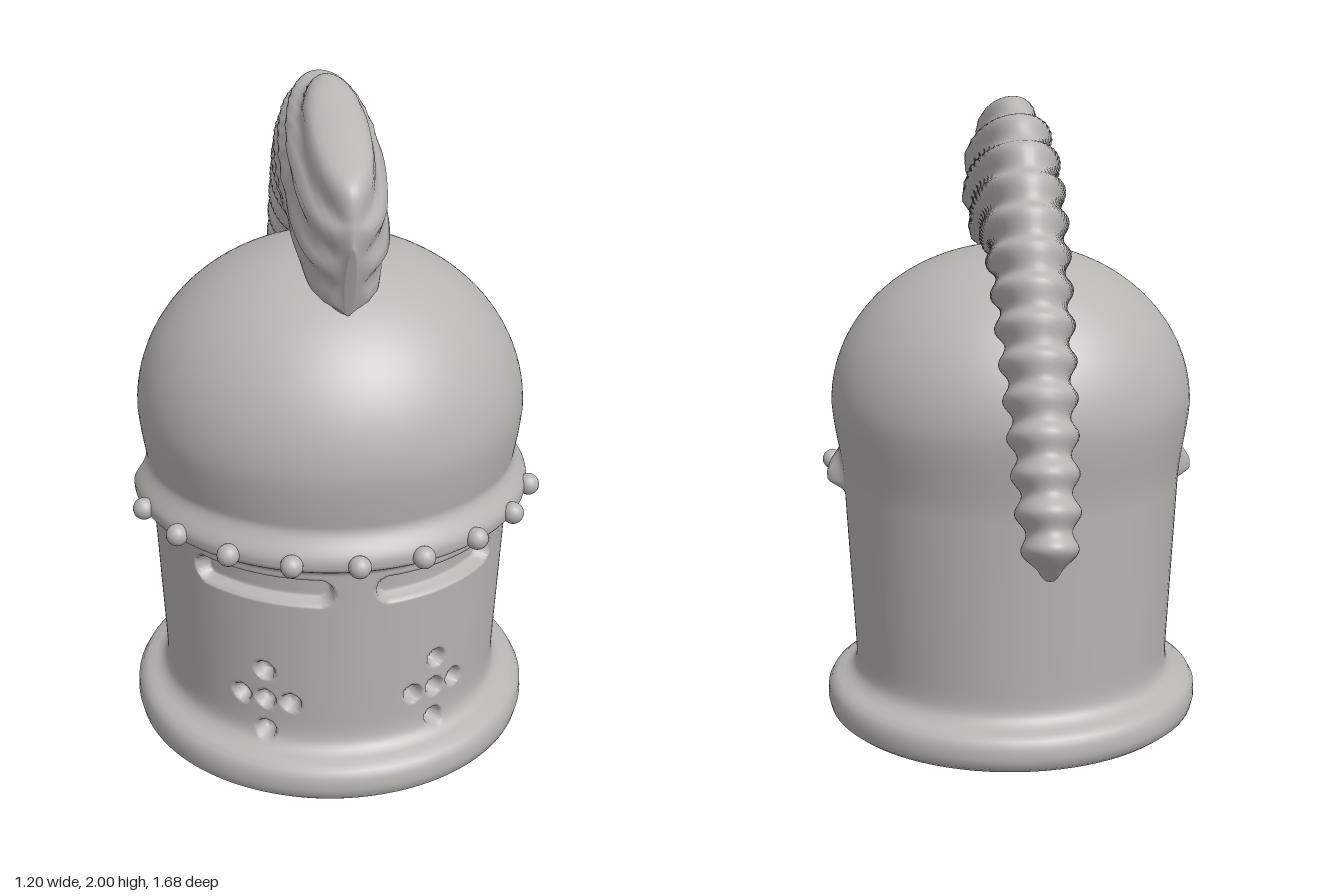
import * as THREE from 'three';
import { mergeVertices } from 'three/addons/utils/BufferGeometryUtils.js';

const AXIS_Z = 0.215; // helmet axis
const step = THREE.MathUtils.smoothstep;

// Plain wall radius at height y: slight flare plus a fillet into the rim
const wallRadius = (y) =>
  0.502 + 0.05 * (y - 0.2) + 0.02 * step(y, 0.8, 1.05) + 0.045 * Math.exp(-(y - 0.15) / 0.02);

// Breathing holes, as arc length and height on one half of the face
const HOLES = [[0, 0], [0.078, 0], [-0.078, 0], [0, 0.1], [0, -0.105]].map(([s, y]) => [0.262 + s, 0.308 + y]);

// Radial offset of the wall: raised brow band, sunken eye slits and holes
function relief(phi, y) {
  const a = Math.abs(phi), s = a * 0.515;
  const band = 0.052 * step(y, 0.755, 0.8) * (1 - step(y, 0.815, 0.91)) * (1 - step(a, 1.55, 1.63));
  const ds = Math.max(0.1 - s, 0, s - 0.445);
  let d = Math.hypot(ds, y - 0.692) - 0.039;
  for (const [hs, hy] of HOLES) d = Math.min(d, Math.hypot(s - hs, y - hy) - 0.027);
  return band - 0.04 * (1 - step(d, -0.009, 0.005));
}

// Helmet: lathe with columns packed towards the face, then embossed
function helmetGeometry() {
  const pts = [[0, 0], [0.36, 0], [0.44, 0.012], [0.54, 0.024], [0.572, 0.03], [0.592, 0.046], [0.599, 0.075],
    [0.597, 0.11], [0.585, 0.132], [0.567, 0.144]];
  for (let i = 0; i <= 116; i++) {
    const y = 0.15 + 0.8 * i / 116;
    pts.push([wallRadius(y), y]);
  }
  for (const y of [0.98, 1.015]) pts.push([wallRadius(y), y]);
  for (let i = 0; i <= 28; i++) {
    const a = Math.PI / 2 * i / 28;
    pts.push([0.565 * Math.cos(a), 1.05 + 0.49 * Math.sin(a)]);
  }
  const cols = 270, rows = pts.length;
  const geo = new THREE.LatheGeometry(pts.map(([r, y]) => new THREE.Vector2(Math.max(r, 0), y)), cols);
  const pos = geo.attributes.position;
  for (let i = 0; i <= cols; i++) {
    const u = 2 * i / cols - 1, a = Math.abs(u);
    const phi = Math.sign(u) * (a < 0.86 ? a / 0.86 * 1.72 : 1.72 + (a - 0.86) / 0.14 * (Math.PI - 1.72));
    for (let j = 0; j < rows; j++) {
      const [r0, y] = pts[j];
      const r = r0 + (y > 0.149 && y < 0.96 ? relief(phi, y) : 0);
      pos.setXYZ(i * rows + j, r * Math.sin(phi), y, r * Math.cos(phi));
    }
  }
  geo.deleteAttribute('uv');
  geo.deleteAttribute('normal');
  const merged = mergeVertices(geo, 1e-5);
  merged.computeVertexNormals();
  return merged;
}

// Plume: loft between a lower and an upper edge, with slanted parallel ridges
function plumeGeometry() {
  // lower z, lower y, upper z, upper y, half width
  const sections = [
    [0.56, 1.45, 0.648, 1.67, 0.015], [0.55, 1.44, 0.635, 1.79, 0.06], [0.5, 1.43, 0.55, 1.87, 0.103],
    [0.4, 1.45, 0.4, 1.94, 0.125], [0.25, 1.48, 0.2, 1.985, 0.13], [0.1, 1.48, 0, 1.965, 0.126],
    [-0.08, 1.46, -0.2, 1.865, 0.117], [-0.23, 1.35, -0.39, 1.67, 0.107], [-0.38, 1.2, -0.56, 1.42, 0.098],
    [-0.52, 1.0, -0.72, 1.13, 0.085], [-0.615, 0.86, -0.815, 0.95, 0.076], [-0.66, 0.79, -0.825, 0.85, 0.055],
    [-0.71, 0.77, -0.755, 0.775, 0.015]];
  const curve = (f) => new THREE.CatmullRomCurve3(sections.map(f), false, 'catmullrom', 0.5);
  const low = curve((s) => new THREE.Vector3(0, s[1], s[0]));
  const high = curve((s) => new THREE.Vector3(s[4], s[3], s[2]));
  const rings = 290, sides = 48, verts = [], index = [];
  for (let i = 0; i <= rings; i++) {
    const t = i / rings, b = low.getPoint(t), h = high.getPoint(t), w = h.x;
    h.x = 0;
    const mid = b.clone().add(h).multiplyScalar(0.5);
    const half = h.sub(b).multiplyScalar(0.5), dir = half.clone().normalize();
    const amp = 0.012 * step(t, 0, 0.1) * (1 - step(t, 0.93, 1));
    for (let j = 0; j < sides; j++) {
      const a = j / sides * Math.PI * 2, c = Math.cos(a), s = Math.sin(a);
      const p = mid.clone().addScaledVector(half, c);
      const k = amp * Math.sin((p.z * 0.34 + p.y * 0.94) * Math.PI * 2 / 0.105);
      p.addScaledVector(dir, c * k);
      verts.push(s * (w + k), p.y, p.z);
      if (i < rings) {
        const n = (j + 1) % sides, q = i * sides;
        index.push(q + j, q + n, q + sides + j, q + n, q + sides + n, q + sides + j);
      }
    }
  }
  // Close both ends
  const last = rings * sides;
  for (let j = 1; j < sides - 1; j++) index.push(0, j + 1, j, last, last + j, last + j + 1);
  const geo = new THREE.BufferGeometry();
  geo.setAttribute('position', new THREE.Float32BufferAttribute(verts, 3));
  geo.setIndex(index);
  geo.computeVertexNormals();
  return geo;
}

export function createModel() {
  const group = new THREE.Group();
  const steel = new THREE.MeshStandardMaterial({ color: 0xb8b6b1 });
  steel.name = 'warm grey';
  const add = (name, geo) => {
    const mesh = new THREE.Mesh(geo, steel);
    mesh.name = name;
    group.add(mesh);
    return mesh;
  };

  add('helmet', helmetGeometry()).position.z = AXIS_Z;
  add('plume', plumeGeometry());

  // Studs along the brow band
  const stud = new THREE.SphereGeometry(0.032, 18, 12);
  for (let i = -4; i <= 4; i++) {
    const a = i * 0.313;
    add('browStud', stud).position.set(0.594 * Math.sin(a), 0.815, AXIS_Z + 0.594 * Math.cos(a));
  }
  return group;
}
